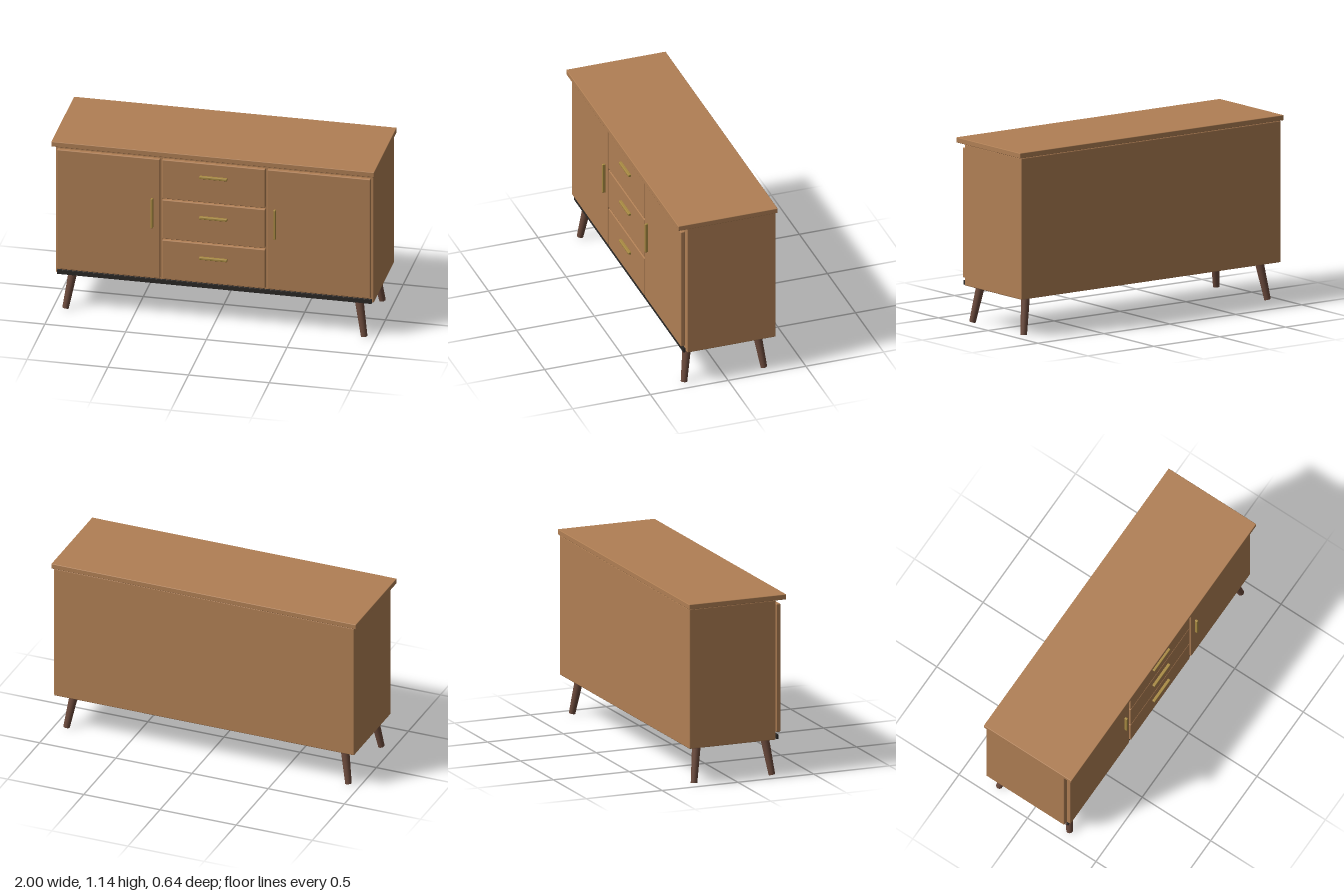
import * as THREE from 'three';
import { RoundedBoxGeometry } from 'three/addons/geometries/RoundedBoxGeometry.js';

export function createModel() {
  const model = new THREE.Group();
  model.name = 'sideboard';

  const wood = new THREE.MeshStandardMaterial({ color: 0xb07f54 });
  const darkWood = new THREE.MeshStandardMaterial({ color: 0x6b4a3c });
  const brass = new THREE.MeshStandardMaterial({ color: 0xa88a42 });
  const black = new THREE.MeshStandardMaterial({ color: 0x2b2826 });

  // Box given by its min and max corners, with softened edges
  function slab(name, [x0, y0, z0], [x1, y1, z1], radius, material) {
    const geometry = new RoundedBoxGeometry(x1 - x0, y1 - y0, z1 - z0, 3, radius);
    const mesh = new THREE.Mesh(geometry, material);
    mesh.position.set((x0 + x1) / 2, (y0 + y1) / 2, (z0 + z1) / 2);
    mesh.name = name;
    model.add(mesh);
  }

  // Tapered leg from its foot to its top
  function leg(name, foot, top) {
    const axis = top.clone().sub(foot);
    const mesh = new THREE.Mesh(new THREE.CylinderGeometry(0.027, 0.02, axis.length(), 20), darkWood);
    mesh.position.copy(foot).add(top).multiplyScalar(0.5);
    mesh.quaternion.setFromUnitVectors(new THREE.Vector3(0, 1, 0), axis.normalize());
    mesh.name = name;
    model.add(mesh);
  }

  // Carcass, top board and plinth strip
  slab('cabinetBody', [-0.985, 0.236, -0.313], [0.985, 1.109, 0.258], 0.006, wood);
  slab('topBoard', [-1, 1.11, -0.32], [1, 1.143, 0.32], 0.004, wood);
  slab('plinthStrip', [-0.975, 0.237, 0.266], [0.975, 0.265, 0.279], 0.001, black);

  // Doors with upright handles
  for (const s of [-1, 1]) {
    const side = s > 0 ? 'left' : 'right';
    const door = s * 0.652, handle = s * 0.38;
    slab(side + 'Door', [door - 0.319, 0.279, 0.267], [door + 0.319, 1.08, 0.294], 0.005, wood);
    slab(side + 'DoorHandle', [handle - 0.007, 0.62, 0.292], [handle + 0.007, 0.818, 0.312], 0.004, brass);
  }

  // Three drawers with level handles
  for (let i = 0; i < 3; i++) {
    const bottom = 0.279 + i * 0.27;
    const handle = 0.447 + i * 0.272;
    slab('drawer' + (i + 1), [-0.319, bottom, 0.267], [0.319, bottom + 0.261, 0.294], 0.005, wood);
    slab('drawerHandle' + (i + 1), [-0.086, handle - 0.008, 0.292], [0.086, handle + 0.008, 0.312], 0.004, brass);
  }

  // Splayed legs
  for (const sx of [-1, 1]) {
    for (const sz of [-1, 1]) {
      const name = (sz > 0 ? 'front' : 'back') + (sx > 0 ? 'Left' : 'Right') + 'Leg';
      leg(name, new THREE.Vector3(sx * 0.925, 0.005, sz * 0.257), new THREE.Vector3(sx * 0.885, 0.242, sz * 0.223));
    }
  }

  return model;
}
